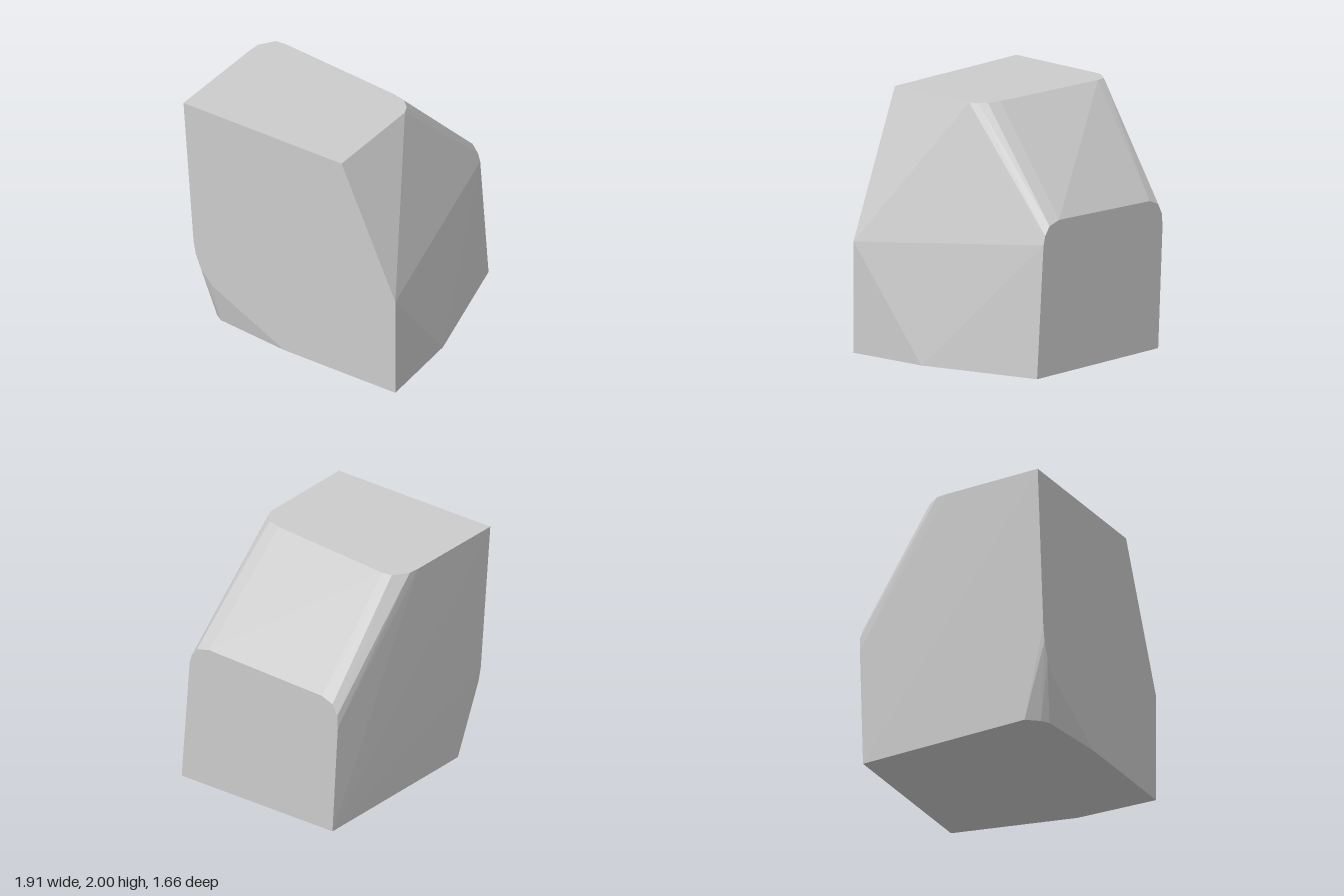
import * as THREE from 'three';
import { ConvexGeometry } from 'three/addons/geometries/ConvexGeometry.js';

// The block is the convex hull of its four flat end faces.
export function createModel() {
  const group = new THREE.Group();
  group.name = 'chamferedBlock';

  // top face, y = 2: [x, z]
  const top = [
    [-0.96, 0.83], [-0.885, 0], [-0.87, -0.09], [-0.78, -0.2], [-0.7, -0.21],
    [0.34, -0.12], [0.45, -0.09], [0.505, -0.035], [0.53, 0.03], [0.465, 0.83],
  ];
  // bottom face, y = 0: [x, z]
  const bottom = [
    [0.95, 0.83], [0.95, 0.15], [0.74, -0.83], [-0.68, -0.83], [-0.79, 0.5],
    [-0.8, 0.63], [-0.72, 0.73], [-0.66, 0.77], [-0.05, 0.83],
  ];
  // front face, z = 0.83: [x, y], with the worn lower corner
  const front = [
    [0.95, 0.87], [-0.7, 0.35], [-0.8, 0.47], [-0.85, 0.6], [-0.87, 0.72],
  ];
  // back face, z = -0.83: [x, y], with rounded upper corners
  const back = [
    [-0.73, 0.93], [-0.725, 1.04], [-0.68, 1.125], [-0.58, 1.165],
    [0.48, 1.2], [0.595, 1.17], [0.645, 1.1], [0.665, 1.03],
  ];

  const points = [
    ...top.map(([x, z]) => new THREE.Vector3(x, 2, z)),
    ...bottom.map(([x, z]) => new THREE.Vector3(x, 0, z)),
    ...front.map(([x, y]) => new THREE.Vector3(x, y, 0.83)),
    ...back.map(([x, y]) => new THREE.Vector3(x, y, -0.83)),
  ];

  const block = new THREE.Mesh(
    new ConvexGeometry(points),
    new THREE.MeshStandardMaterial({ color: 0xcccccc, flatShading: true })
  );
  block.name = 'block';
  group.add(block);
  return group;
}
